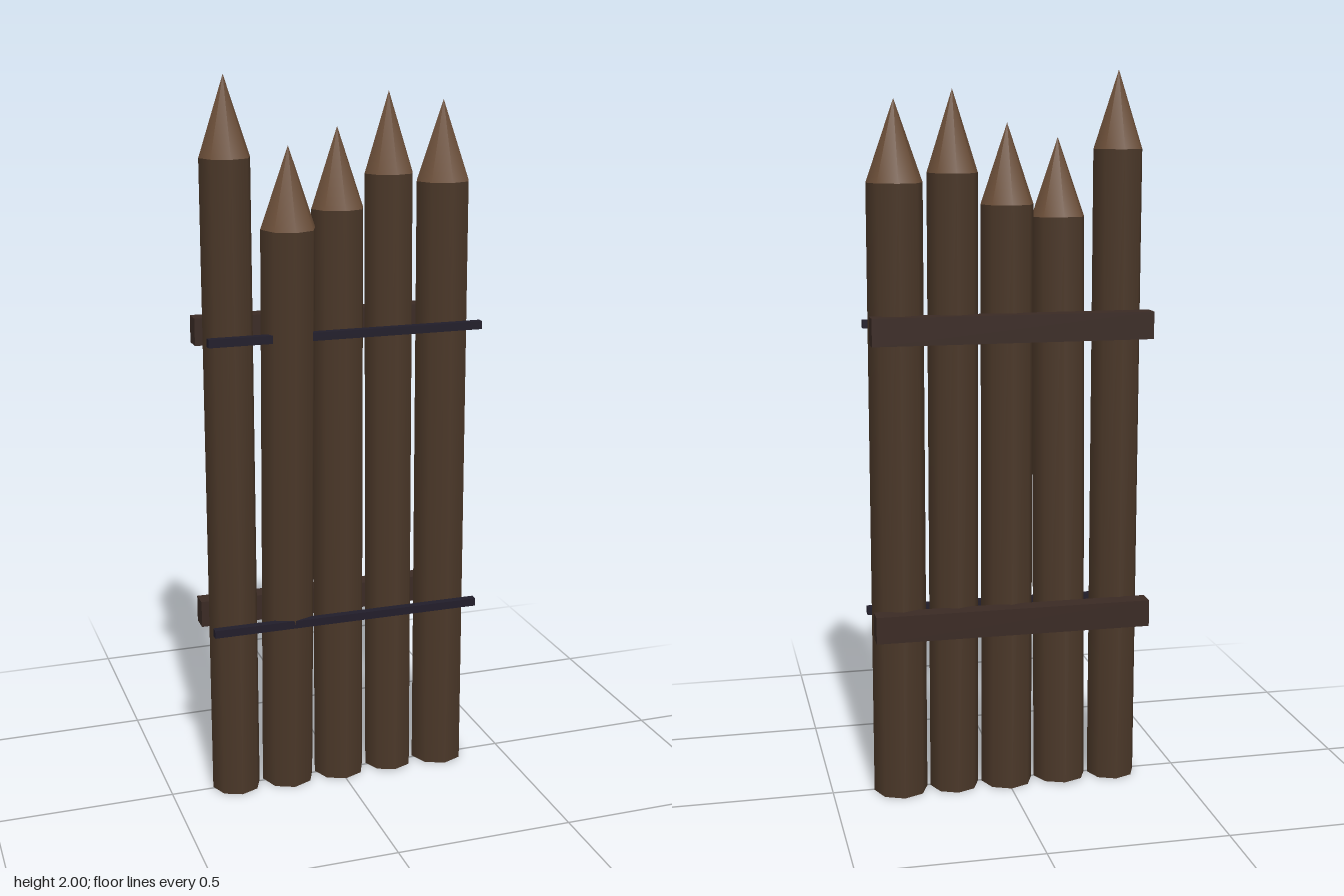
import * as THREE from 'three';

const mat = (color) => new THREE.MeshStandardMaterial({ color, roughness: 0.9 });

export function createModel() {
  const group = new THREE.Group();
  const bark = mat(0x4a3728);
  const cutWood = mat(0x6b4e38);
  const railWood = mat(0x3a2a24);
  const iron = mat(0x211d2a);

  // Stakes: x, radius, shaft height, point height, lean about x
  const stakes = [
    [-0.31, 0.069, 1.79, 0.21, 0],
    [-0.156, 0.075, 1.605, 0.215, 0.032],
    [0, 0.073, 1.645, 0.215, -0.0055],
    [0.153, 0.069, 1.73, 0.217, -0.0175],
    [0.307, 0.076, 1.705, 0.217, -0.013],
  ];
  stakes.forEach(([x, r, h, tip, lean], i) => {
    const stake = new THREE.Group();
    stake.name = `stake${i + 1}`;

    const shaft = new THREE.Mesh(new THREE.CylinderGeometry(r, r, h, 8), bark);
    shaft.name = 'shaft';
    shaft.position.y = h / 2;

    const point = new THREE.Mesh(new THREE.ConeGeometry(r, tip, 8), cutWood);
    point.name = 'point';
    point.position.y = h + tip / 2;

    stake.add(shaft, point);
    stake.position.set(x, Math.abs(Math.sin(lean)) * r, -0.006);
    stake.rotation.x = lean;
    group.add(stake);
  });

  // Back rails and thin front straps at two heights
  const bar = (name, height, depth, y, z, material) => {
    const mesh = new THREE.Mesh(new THREE.BoxGeometry(0.77, height, depth), material);
    mesh.name = name;
    mesh.position.set(0, y, z);
    group.add(mesh);
  };
  for (const [label, y] of [['lower', 0.508], ['upper', 1.321]]) {
    bar(`${label}BackRail`, 0.075, 0.052, y, -0.096, railWood);
    bar(`${label}FrontStrap`, 0.022, 0.022, y, 0.074, iron);
  }
  return group;
}
